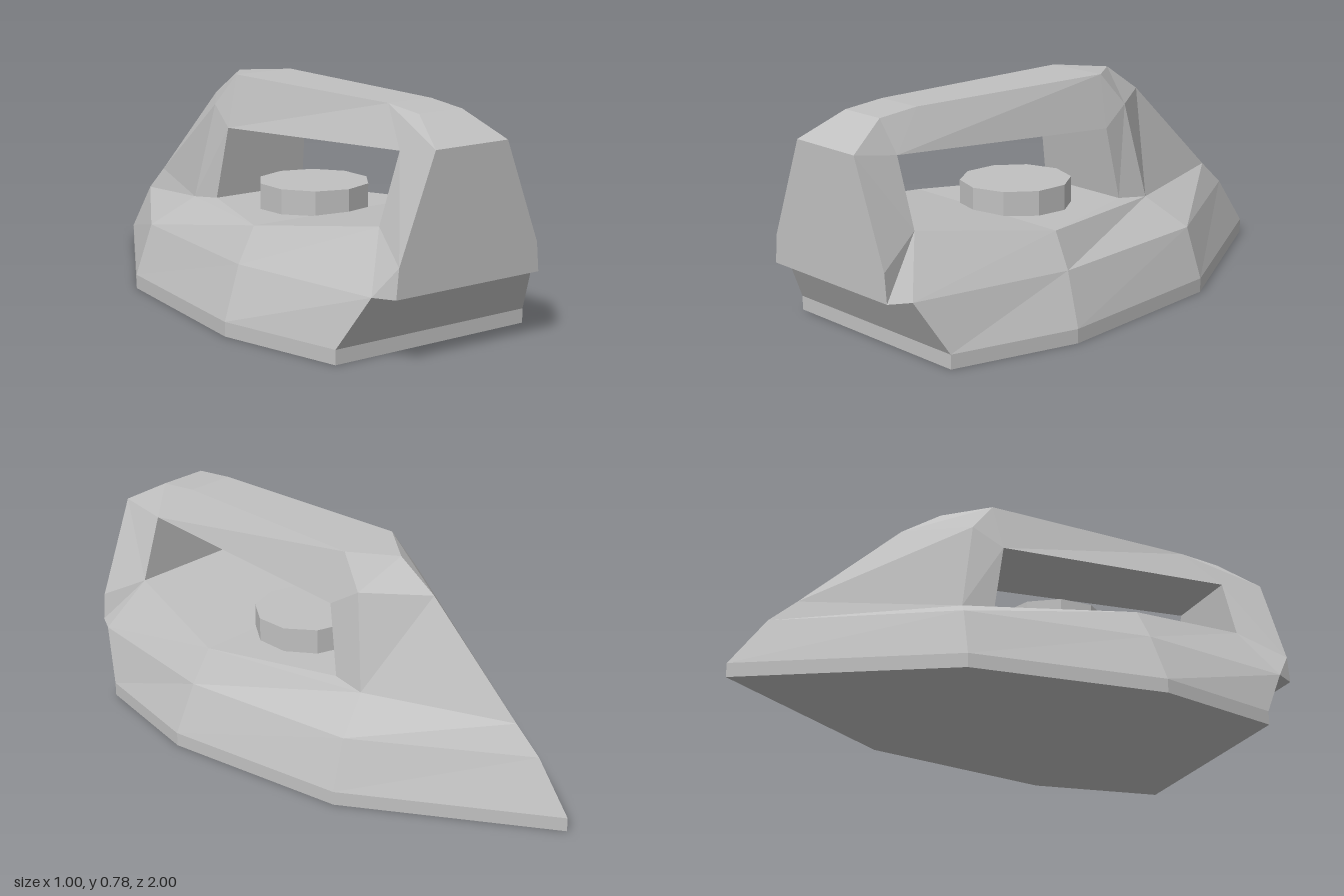
import * as THREE from 'three';

// Corner points of the +x half; a leading '-' in a face mirrors the point.
const P = {
  tip0: [0, 0, -1], side0: [0.41, 0, -0.32], wide0: [0.5, 0, 0.37], rear0: [0.4, 0, 0.83],
  tip1: [0, 0.05, -1], side1: [0.41, 0.05, -0.32], wide1: [0.5, 0.05, 0.37], rear1: [0.4, 0.05, 0.83],
  ringTip: [0, 0.23, -0.87], ringSide: [0.35, 0.23, -0.31], ringWide: [0.43, 0.23, 0.35], ringRear: [0.34, 0.23, 0.93],
  prow: [0, 0.32, -0.77], deckFront: [0.2, 0.325, -0.25], deckWide: [0.36, 0.35, 0.34], deckRear: [0.23, 0.42, 0.83],
  postLow: [0.19, 0.34, -0.125], shoulder: [0, 0.67, -0.4], edgeTop: [0.15, 0.665, -0.19], brow: [0, 0.77, -0.25],
  gripFront: [0.17, 0.597, -0.08], gripRear: [0.15, 0.652, 0.83],
  topFront: [0.12, 0.78, -0.1], topMid: [0.09, 0.78, 0.7], topRear: [0.09, 0.765, 0.85],
  backTop: [0.15, 0.68, 1], backLow: [0.29, 0.33, 1], backFoot: [0.3, 0.23, 1],
};

const point = (n) => {
  const m = n[0] === '-';
  const [x, y, z] = P[m ? n.slice(1) : n];
  return new THREE.Vector3(m ? -x : x, y, z);
};

// Faces without mirrored points are repeated on the other side; all are wound away from core.
function shell(name, core, faces, material) {
  const pos = [];
  const c = new THREE.Vector3(...core);
  const add = (pts) => {
    const normal = new THREE.Vector3(), mid = new THREE.Vector3();
    pts.forEach((p, i) => {
      normal.add(p.clone().cross(pts[(i + 1) % pts.length]));
      mid.addScaledVector(p, 1 / pts.length);
    });
    if (normal.dot(mid.sub(c)) < 0) pts = pts.slice().reverse();
    for (let i = 1; i < pts.length - 1; i++) {
      for (const p of [pts[0], pts[i], pts[i + 1]]) pos.push(p.x, p.y, p.z);
    }
  };
  for (const face of faces) {
    const names = face.split(' ');
    const pts = names.map(point);
    add(pts);
    if (!names.some((n) => n[0] === '-')) {
      add(pts.map((p) => new THREE.Vector3(-p.x, p.y, p.z)));
    }
  }
  const geo = new THREE.BufferGeometry();
  geo.setAttribute('position', new THREE.Float32BufferAttribute(pos, 3));
  geo.computeVertexNormals();
  const mesh = new THREE.Mesh(geo, material);
  mesh.name = name;
  return mesh;
}

export function createModel() {
  const grey = new THREE.MeshStandardMaterial({ color: 0xc0c0c0 });
  grey.name = 'light grey';
  const group = new THREE.Group();
  group.name = 'flatIron';

  // Flat plate with a short vertical rim
  group.add(shell('solePlate', [0, 0.03, 0.1], [
    'tip0 side0 wide0 rear0 -rear0 -wide0 -side0',
    'tip0 side0 side1 tip1',
    'side0 wide0 wide1 side1',
    'wide0 rear0 rear1 wide1',
    'rear0 rear1 -rear1 -rear0',
  ], grey));

  // Sloping sides and the deck under the handle
  group.add(shell('body', [0, 0.15, 0.1], [
    'tip1 side1 ringSide ringTip',
    'side1 wide1 ringWide ringSide',
    'wide1 rear1 ringRear ringWide',
    'rear1 ringRear -ringRear -rear1',
    'ringTip ringSide deckFront prow',
    'ringSide ringWide deckWide deckFront',
    'ringWide ringRear deckRear deckWide',
    'deckRear deckWide -deckWide -deckRear',
    'deckWide postLow -postLow -deckWide',
    'deckWide deckFront postLow',
  ], grey));

  // Ridged post rising from the nose
  group.add(shell('frontPost', [0, 0.5, -0.22], [
    'prow deckFront edgeTop shoulder',
    'shoulder edgeTop topFront brow',
    'deckFront postLow gripFront edgeTop',
    'postLow gripFront -gripFront -postLow',
  ], grey));

  // Grip bridging the two posts
  group.add(shell('handle', [0, 0.7, 0.4], [
    'gripRear gripFront -gripFront -gripRear',
    'gripRear gripFront topFront topMid',
    'gripRear topMid topRear backTop',
    'gripFront topFront edgeTop',
    'brow topFront -topFront',
    'topFront topMid -topMid -topFront',
    'topMid topRear -topRear -topMid',
    'topRear backTop -backTop -topRear',
  ], grey));

  // Heel post overhanging the plate
  group.add(shell('rearPost', [0, 0.5, 0.93], [
    'backTop backLow backFoot -backFoot -backLow -backTop',
    'deckRear gripRear backTop backLow',
    'deckRear gripRear -gripRear -deckRear',
    'ringRear backFoot backLow deckRear',
    'ringRear backFoot -backFoot -ringRear',
  ], grey));

  // Ten-sided dial on the deck
  const dialGeo = new THREE.CylinderGeometry(0.195, 0.195, 0.105, 10).toNonIndexed();
  dialGeo.computeVertexNormals();
  const dial = new THREE.Mesh(dialGeo, grey);
  dial.name = 'dial';
  dial.position.set(0, 0.3825, 0.195);
  group.add(dial);

  return group;
}
